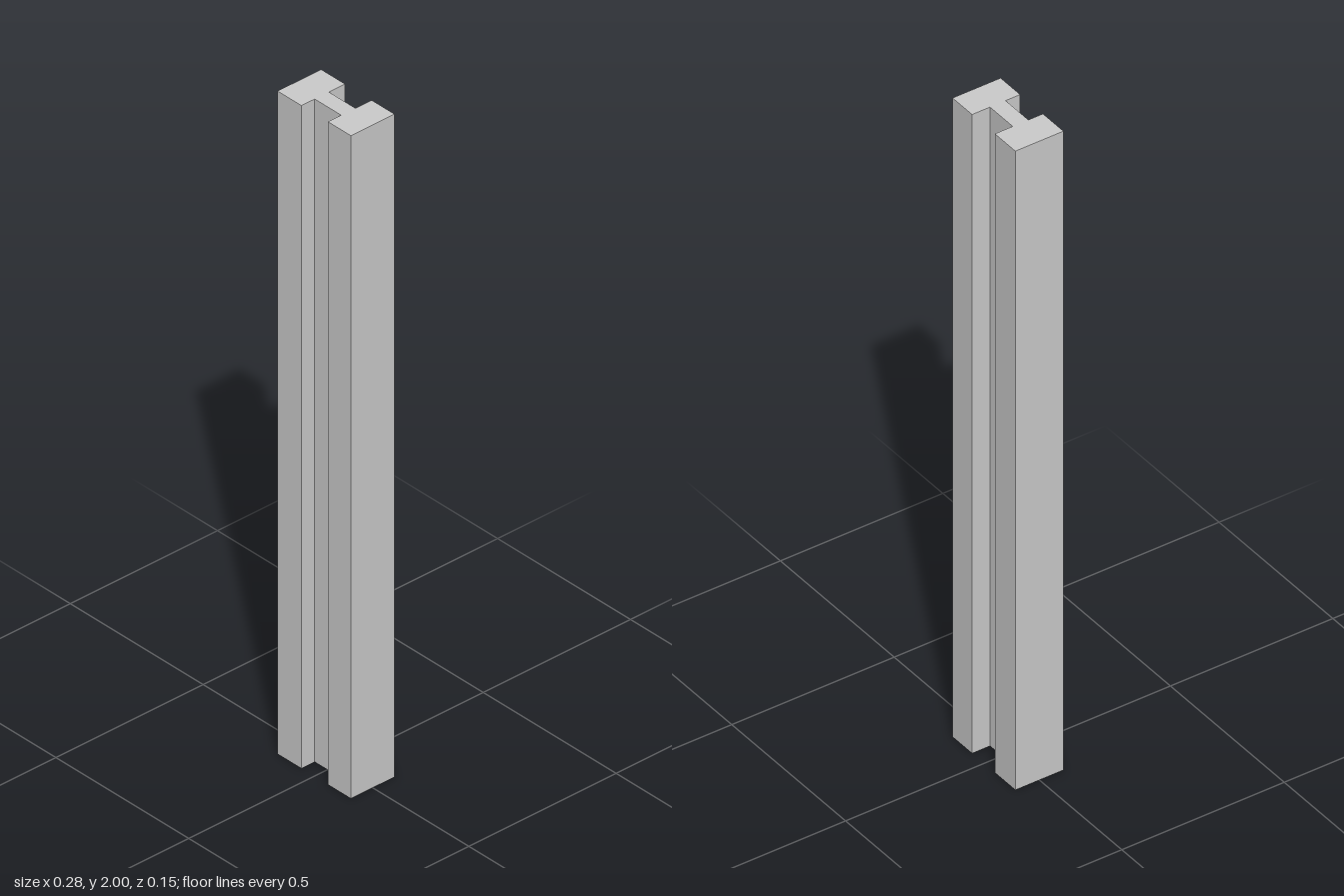
import * as THREE from 'three';

// H-shaped post: two thick flanges joined by a slightly offset web
export function createModel() {
  const group = new THREE.Group();
  group.name = 'slottedPost';

  const height = 2;
  const outer = 0.138, half = 0.074;        // overall half width and half depth
  const slotLeft = 0.052, slotRight = -0.048; // slot sides in x
  const webFront = 0.029, webBack = -0.019; // web faces in z

  // Cross-section as [x, z], seen from above
  const section = [
    [-outer, half], [slotRight, half], [slotRight, webFront],
    [slotLeft, webFront], [slotLeft, half], [outer, half],
    [outer, -half], [slotLeft, -half], [slotLeft, webBack],
    [slotRight, webBack], [slotRight, -half], [-outer, -half],
  ];
  const shape = new THREE.Shape(section.map(([x, z]) => new THREE.Vector2(x, -z)));

  // Extrude, then stand the post upright
  const geometry = new THREE.ExtrudeGeometry(shape, { depth: height, bevelEnabled: false });
  geometry.rotateX(-Math.PI / 2);

  const post = new THREE.Mesh(
    geometry,
    new THREE.MeshStandardMaterial({ color: 0xcccccc, flatShading: true })
  );
  post.name = 'post';
  group.add(post);
  return group;
}
